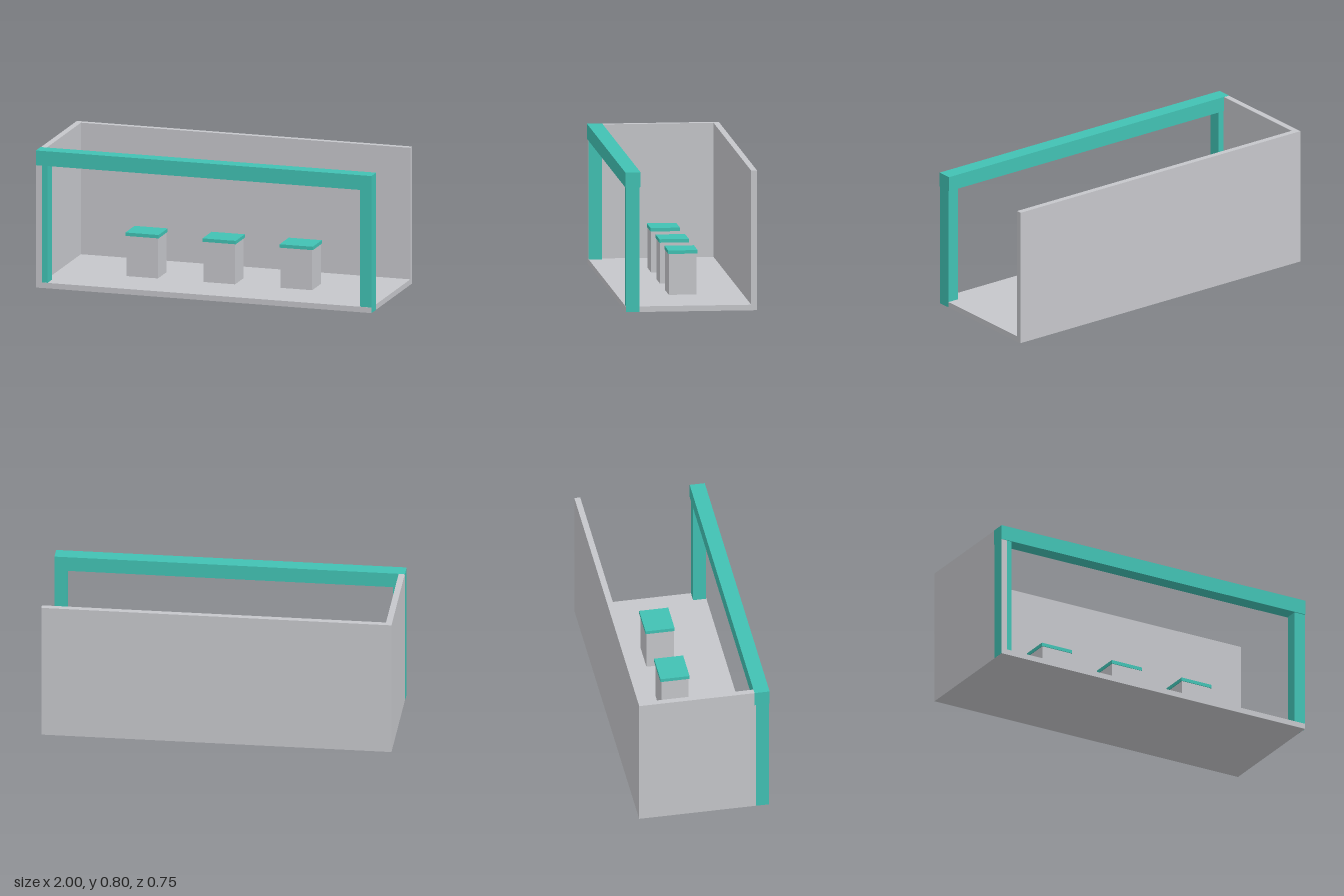
import * as THREE from 'three';

export function createModel() {
  const model = new THREE.Group();
  const grey = new THREE.MeshStandardMaterial({ color: 0xc5c6ca });
  grey.name = 'light grey';
  const teal = new THREE.MeshStandardMaterial({ color: 0x41c1b3 });
  teal.name = 'teal';

  // Box given by its minimum and maximum corners
  function box(name, material, [x0, y0, z0], [x1, y1, z1], parent = model) {
    const mesh = new THREE.Mesh(new THREE.BoxGeometry(x1 - x0, y1 - y0, z1 - z0), material);
    mesh.position.set((x0 + x1) / 2, (y0 + y1) / 2, (z0 + z1) / 2);
    mesh.name = name;
    parent.add(mesh);
  }

  // Booth shell: floor, back wall and one side wall
  box('floor', grey, [-1, 0, -0.376], [1, 0.032, 0.374]);
  box('backWall', grey, [-1, 0.032, -0.376], [1, 0.8, -0.342]);
  box('sideWall', grey, [-1, 0.032, -0.342], [-0.965, 0.8, 0.374]);

  // Front frame, a hair proud of the shell so its faces stay visible
  const out = 1.001;
  box('rightPost', teal, [-out, 0.0005, 0.297], [-0.932, 0.715, 0.372]);
  box('leftPost', teal, [0.932, 0.0005, 0.297], [out, 0.715, 0.372]);
  box('topBeam', teal, [-out, 0.715, 0.29], [out, 0.801, 0.377]);

  // Row of display plinths with overhanging tops
  for (const x of [-0.463, -0.003, 0.457]) {
    const plinth = new THREE.Group();
    plinth.name = 'plinth';
    plinth.position.x = x;
    box('plinthBody', grey, [-0.094, 0.032, -0.079], [0.094, 0.267, 0.079], plinth);
    box('plinthTop', teal, [-0.099, 0.267, -0.085], [0.099, 0.287, 0.083], plinth);
    model.add(plinth);
  }
  return model;
}
